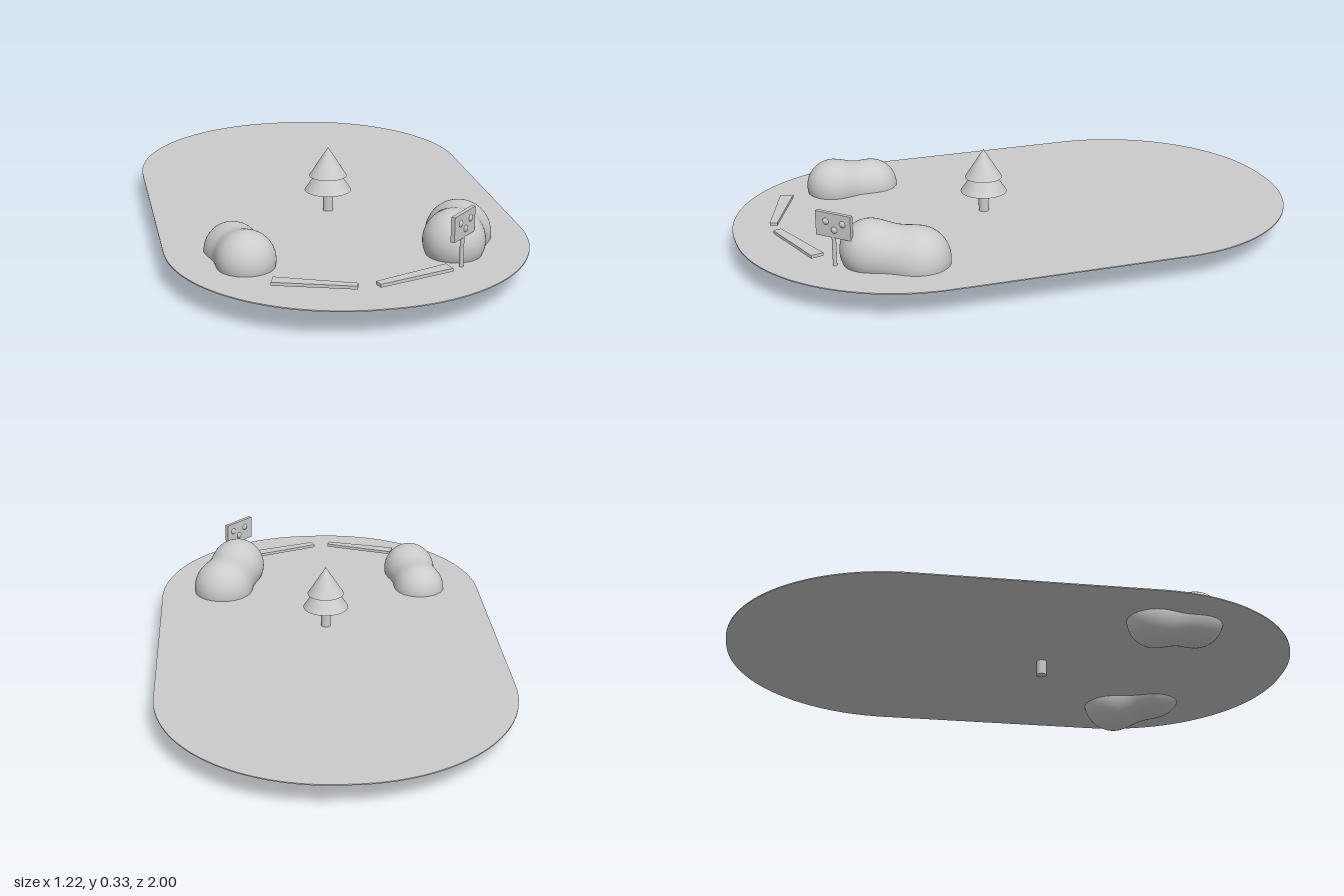
import * as THREE from 'three';

const grey = new THREE.MeshStandardMaterial({ color: 0xcccccc });

function add(parent, name, geometry, x = 0, y = 0, z = 0) {
  const mesh = new THREE.Mesh(geometry, grey);
  mesh.name = name;
  mesh.position.set(x, y, z);
  parent.add(mesh);
  return mesh;
}

// Flat slab from an (x, z) outline, its underside at height y
function slab(parent, name, shape, y, depth) {
  const geometry = new THREE.ExtrudeGeometry(shape, { depth, bevelEnabled: false, curveSegments: 32 });
  geometry.rotateX(Math.PI / 2); // shape y becomes z, depth goes down
  return add(parent, name, geometry, 0, y + depth, 0);
}

// Ground outline: rectangle with very large rounded corners
function groundShape(w, l, r) {
  const s = new THREE.Shape();
  s.absarc(w - r, l - r, r, 0, Math.PI / 2);
  s.absarc(r - w, l - r, r, Math.PI / 2, Math.PI);
  s.absarc(r - w, r - l, r, Math.PI, Math.PI * 1.5);
  s.absarc(w - r, r - l, r, Math.PI * 1.5, Math.PI * 2);
  s.closePath();
  return s;
}

// Two balls melted together, revolved about the line joining their centres
function blob(parent, name, a, ra, b, rb, blend) {
  const from = new THREE.Vector3(...a), to = new THREE.Vector3(...b);
  const half = from.distanceTo(to) / 2;
  const distance = (r, y) => {
    const d1 = Math.hypot(r, y + half) - ra, d2 = Math.hypot(r, y - half) - rb;
    const h = Math.max(blend - Math.abs(d1 - d2), 0);
    return Math.min(d1, d2) - h * h / (4 * blend);
  };
  const profile = [], steps = 48;
  for (let i = 0; i <= steps; i++) {
    const angle = Math.PI * i / steps, s = Math.sin(angle), c = -Math.cos(angle);
    let lo = 0, hi = 0.5;
    for (let k = 0; k < 30; k++) {
      const mid = (lo + hi) / 2;
      if (distance(mid * s, mid * c) < 0) lo = mid; else hi = mid;
    }
    profile.push(new THREE.Vector2(i % steps ? lo * s : 0, lo * c));
  }
  const mesh = add(parent, name, new THREE.LatheGeometry(profile, 48));
  mesh.position.copy(from).add(to).multiplyScalar(0.5);
  mesh.quaternion.setFromUnitVectors(new THREE.Vector3(0, 1, 0), to.sub(from).normalize());
  return mesh;
}

export function createModel() {
  const model = new THREE.Group();
  model.name = 'parkGround';
  const groundY = 0.095;

  slab(model, 'ground', groundShape(0.61, 1, 0.59), groundY - 0.002, 0.004);

  // Tree: trunk passing through the ground, two tiers of foliage
  const tree = new THREE.Group();
  tree.name = 'tree';
  tree.position.set(0, 0, 0.113);
  model.add(tree);
  add(tree, 'trunk', new THREE.CylinderGeometry(0.018, 0.018, 0.145, 32), 0, 0.1125, 0);
  add(tree, 'lowerFoliage', new THREE.ConeGeometry(0.082, 0.122, 48), 0, 0.233, 0);
  add(tree, 'upperFoliage', new THREE.ConeGeometry(0.066, 0.103, 48), 0, 0.2765, 0);

  // Rounded bushes
  blob(model, 'rightBush', [-0.385, 0.097, 0.435], 0.095, [-0.362, 0.119, 0.582], 0.097, 0.08);
  blob(model, 'leftBush', [0.375, 0.112, 0.457], 0.111, [0.318, 0.142, 0.6], 0.103, 0.08);

  // Tapered rails hovering just above the ground
  const rails = [
    ['rightRail', [[-0.303, 0.744], [-0.055, 0.845], [-0.063, 0.87], [-0.317, 0.788]]],
    ['leftRail', [[0, 0.842], [0.25, 0.745], [0.262, 0.788], [0.01, 0.87]]],
  ];
  for (const [name, corners] of rails) {
    slab(model, name, new THREE.Shape(corners.map(p => new THREE.Vector2(...p))), 0.11, 0.011);
  }

  // Sign turned outwards, with studs showing on both faces
  const sign = new THREE.Group();
  sign.name = 'sign';
  sign.position.set(0.311, 0, 0.717);
  sign.rotation.y = Math.PI / 4;
  model.add(sign);
  add(sign, 'signPost', new THREE.CylinderGeometry(0.007, 0.007, 0.11, 20), -0.003, 0.15, 0);
  add(sign, 'signBoard', new THREE.BoxGeometry(0.134, 0.084, 0.014), 0, 0.239, 0);
  for (const [x, y] of [[-0.032, 0.25], [0.032, 0.25], [0, 0.224]]) {
    add(sign, 'signStud', new THREE.SphereGeometry(0.0135, 24, 16), x + 0.004, y, 0);
  }

  return model;
}
